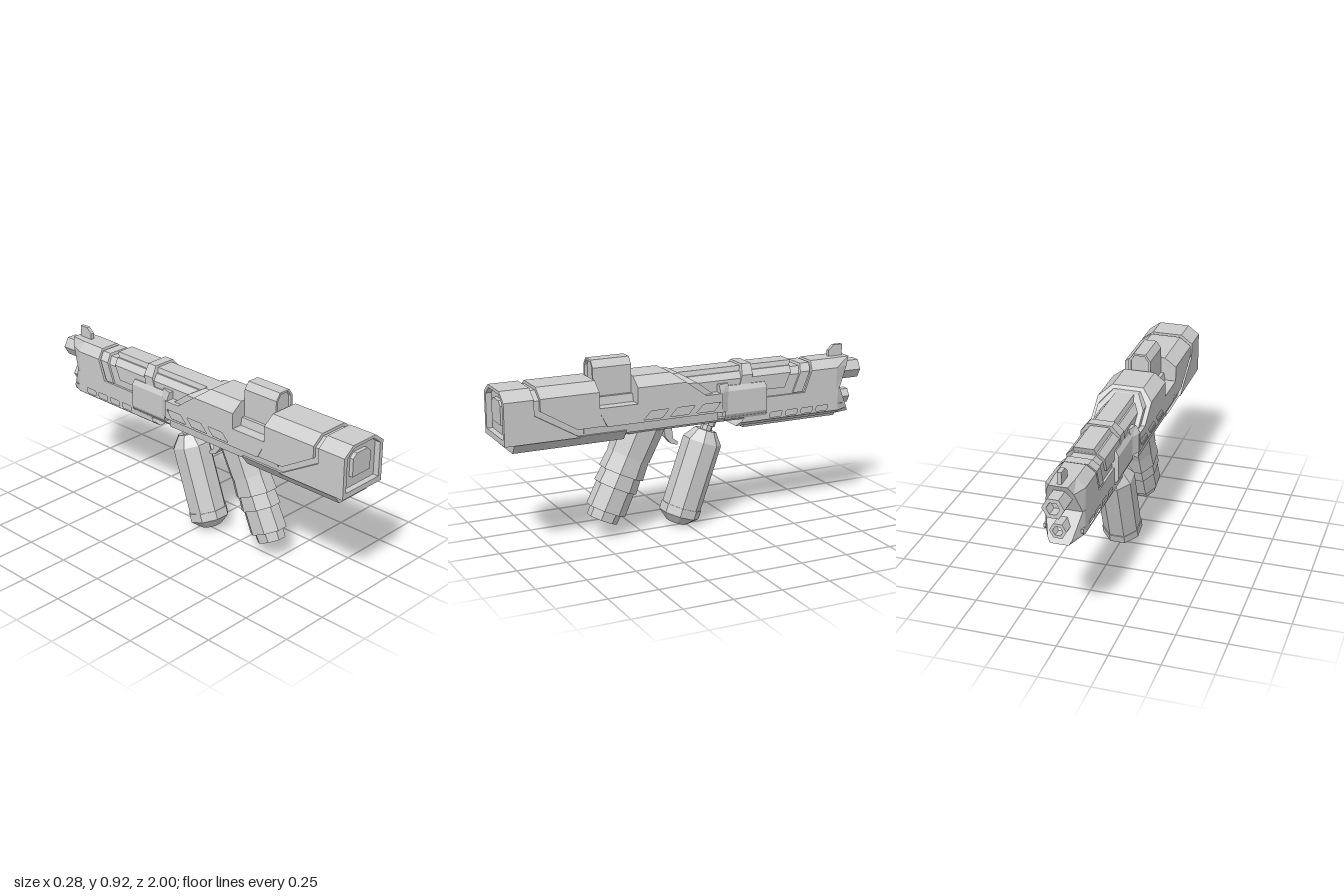
import * as THREE from 'three';

const mat = new THREE.MeshStandardMaterial({ color: 0xcccccc, flatShading: true });

export function createModel() {
  const model = new THREE.Group();
  const add = (name, geo, parent = model) => {
    const mesh = new THREE.Mesh(geo, mat);
    mesh.name = name;
    parent.add(mesh);
    return mesh;
  };

  // Mirrored solid stacked from rows, bottom to top:
  // [y, halfWidth, zFront, zBack, halfWidthAtBack]
  const slab = (name, rows) => {
    const pos = [];
    const quad = (a, b, c, d) => pos.push(...a, ...b, ...c, ...a, ...c, ...d);
    const r = rows.map(([y, w, zf, zb, wb = w]) => ({
      rf: [w, y, zf], lf: [-w, y, zf], rb: [wb, y, zb], lb: [-wb, y, zb],
    }));
    for (let i = 0; i < r.length - 1; i++) {
      const a = r[i], b = r[i + 1];
      quad(a.lf, a.rf, b.rf, b.lf);
      quad(a.rb, a.lb, b.lb, b.rb);
      quad(a.rf, a.rb, b.rb, b.rf);
      quad(a.lb, a.lf, b.lf, b.lb);
    }
    const t = r[r.length - 1], o = r[0];
    quad(t.lf, t.rf, t.rb, t.lb);
    quad(o.lb, o.rb, o.rf, o.lf);
    const geo = new THREE.BufferGeometry();
    geo.setAttribute('position', new THREE.Float32BufferAttribute(pos, 3));
    geo.computeVertexNormals();
    return add(name, geo);
  };

  const shapeOf = (pts, holes = []) => {
    const s = new THREE.Shape(pts.map(p => new THREE.Vector2(...p)));
    holes.forEach(h => s.holes.push(new THREE.Path(h.map(p => new THREE.Vector2(...p)))));
    return s;
  };
  const extrude = (shape, depth) => new THREE.ExtrudeGeometry(shape, { depth, bevelEnabled: false });

  // Outline in (x, y), with optional holes, running from z0 to z1
  const alongZ = (name, pts, holes, z0, z1) =>
    add(name, extrude(shapeOf(pts, holes), z1 - z0).translate(0, 0, z0));

  // Outline in (z, y), spanning x0 to x1
  const alongX = (name, pts, holes, x0, x1) =>
    add(name, extrude(shapeOf(pts, holes), x1 - x0).rotateY(-Math.PI / 2).translate(x1, 0, 0));

  const sidePanels = (name, pts, holes, w, t) => {
    alongX(name + 'Left', pts, holes, w - t, w);
    alongX(name + 'Right', pts, holes, -w, t - w);
  };

  // Arch: box outline with chamfered top corners
  const arch = (w, y0, y1, tw, c) =>
    [[-w, y0], [w, y0], [w, y1 - c], [tw, y1], [-tw, y1], [-w, y1 - c]];

  // Stock: end cap with recessed butt, groove core and middle section
  slab('stockCap', [[0.58, 0.14, 0.97, 0.62], [0.713, 0.14, 0.97, 0.85],
    [0.79, 0.14, 0.97, 0.85], [0.835, 0.08, 0.97, 0.85]]);
  alongZ('buttFrame', arch(0.14, 0.58, 0.835, 0.08, 0.045), [arch(0.118, 0.608, 0.82, 0.07, 0.038)], 0.97, 1);
  alongZ('buttPad', arch(0.063, 0.665, 0.78, 0.038, 0.022), [], 0.96, 0.99);
  slab('stockCore', [[0.585, 0.125, 0.95, 0.5], [0.69, 0.125, 0.95, 0.54],
    [0.78, 0.125, 0.95, 0.54], [0.82, 0.07, 0.95, 0.54]]);
  slab('stockMiddle', [[0.62, 0.14, 0.635, 0.485], [0.69, 0.14, 0.753, 0.52], [0.73, 0.14, 0.82, 0.52],
    [0.79, 0.14, 0.82, 0.52], [0.835, 0.08, 0.82, 0.52]]);
  slab('stockUnderside', [[0.532, 0.1, 0.95, 0.38], [0.585, 0.138, 0.95, 0.38]]);

  // Receiver: lower strip, slotted side panels, raised rear housing
  slab('bottomBelt', [[0.548, 0.08, 0.38, -0.41], [0.575, 0.11, 0.38, -0.41]]);
  slab('lowerStrip', [[0.57, 0.125, 0.6, -0.12], [0.618, 0.13, 0.6, -0.12]]);
  slab('receiverCore', [[0.615, 0.126, 0.49, -0.14], [0.71, 0.126, 0.52, -0.14]]);
  const slits = [0, 1, 2].map(i => {
    const z = 0.29 - i * 0.142;
    return [[z, 0.627], [z - 0.1, 0.627], [z - 0.135, 0.667], [z - 0.04, 0.667]];
  });
  sidePanels('receiverPanel', [[0.48, 0.615], [-0.14, 0.615], [-0.14, 0.71], [0.52, 0.71], [0.52, 0.69]], slits, 0.14, 0.014);
  slab('receiverHousing', [[0.71, 0.14, 0.32, -0.05], [0.79, 0.14, 0.32, 0.06], [0.835, 0.08, 0.32, 0.12]]);
  slab('receiverLip', [[0.7, 0.118, 0.1, -0.11], [0.775, 0.118, 0.1, -0.01], [0.822, 0.07, 0.1, 0.07]]);
  slab('receiverCollar', [[0.61, 0.14, -0.13, -0.19, 0.112], [0.71, 0.14, -0.13, -0.19, 0.112],
    [0.75, 0.118, -0.13, -0.19, 0.1]]);

  // Sight housing in the notch
  slab('sightFoot', [[0.7, 0.085, 0.52, 0.32], [0.75, 0.075, 0.52, 0.32]]);
  alongZ('sightHousing', arch(0.058, 0.72, 0.925, 0.032, 0.035), [arch(0.046, 0.76, 0.915, 0.027, 0.03)], 0.32, 0.52);
  alongZ('sightGlass', arch(0.05, 0.75, 0.918, 0.03, 0.032), [], 0.335, 0.505);

  // Barrel shroud with band and slanted vents
  slab('shroudCore', [[0.56, 0.083, 0, -0.8], [0.75, 0.083, 0, -0.8], [0.785, 0.055, 0, -0.8]]);
  slab('shroud', [[0.69, 0.094, 0, -0.52], [0.765, 0.094, 0.05, -0.553], [0.795, 0.065, 0.08, -0.565]]);
  slab('shroudTop', [[0.785, 0.06, 0.08, -0.56], [0.82, 0.048, 0.1, -0.575]]);
  slab('shroudBand', [[0.7, 0.1, -0.25, -0.31], [0.78, 0.1, -0.27, -0.33], [0.83, 0.06, -0.285, -0.338]]);
  slab('ventRib', [[0.655, 0.093, -0.57, -0.625], [0.76, 0.093, -0.612, -0.667], [0.797, 0.058, -0.627, -0.682]]);

  // Muzzle block and lower shroud, both tapering at the end
  slab('muzzleBlock', [[0.65, 0.095, -0.64, -0.83], [0.76, 0.095, -0.68, -0.83], [0.803, 0.052, -0.695, -0.83]]);
  slab('muzzleTip', [[0.65, 0.095, -0.83, -0.855, 0.088], [0.76, 0.095, -0.83, -0.907, 0.065],
    [0.803, 0.052, -0.83, -0.93, 0.045]]);
  slab('lowerShroud', [[0.51, 0.065, -0.255, -0.84], [0.532, 0.085, -0.27, -0.84],
    [0.58, 0.085, -0.3, -0.84], [0.65, 0.085, -0.41, -0.84]]);
  const ports = [0, 1, 2, 3, 4].map(i => {
    const z = -0.437 - i * 0.091;
    return [[z, 0.541], [z - 0.06, 0.541], [z - 0.068, 0.55], [z - 0.068, 0.568], [z - 0.008, 0.568], [z, 0.56]];
  });
  sidePanels('lowerShroudPanel', [[-0.27, 0.532], [-0.84, 0.532], [-0.84, 0.65], [-0.41, 0.65], [-0.3, 0.58]], ports, 0.095, 0.011);
  slab('lowerTip', [[0.51, 0.065, -0.84, -0.93, 0.045], [0.532, 0.095, -0.84, -0.918, 0.058],
    [0.65, 0.095, -0.84, -0.855, 0.088]]);
  slab('bottomRail', [[0.49, 0.035, -0.31, -0.855], [0.512, 0.045, -0.31, -0.855]]);
  slab('frontSight', [[0.8, 0.01, -0.83, -0.91], [0.835, 0.01, -0.83, -0.91], [0.862, 0.01, -0.86, -0.91]]);

  // Hexagonal barrels with open ends
  const hex = (r, y) => Array.from({ length: 6 }, (_, i) =>
    [r * Math.cos(i * Math.PI / 3), y + r * Math.sin(i * Math.PI / 3)]);
  [['barrel', 0.727, 0.054, -1], ['lowerBarrel', 0.585, 0.041, -0.945]].forEach(([name, y, r, end]) => {
    alongZ(name, hex(r, y), [], end + 0.06, -0.75);
    alongZ(name + 'Mouth', hex(r, y), [hex(r * 0.6, y)], end, end + 0.06);
  });

  // Bracket holding the front grip
  slab('gripBracket', [[0.56, 0.1, -0.17, -0.405], [0.59, 0.115, -0.17, -0.405],
    [0.71, 0.115, -0.17, -0.405], [0.735, 0.1, -0.18, -0.4]]);

  // Trigger
  alongX('trigger', [[0.131, 0.56], [0.12, 0.488], [0.088, 0.45], [0.05, 0.438], [0.05, 0.455],
    [0.076, 0.475], [0.085, 0.56]], [], -0.018, 0.018);

  // Eight-sided segment along a grip axis, from s0 to s1 down the axis
  const segment = (group, name, s0, s1, top, bottom, sx = 1) => {
    const k = 1 / Math.cos(Math.PI / 8);
    const geo = new THREE.CylinderGeometry(top * k, bottom * k, s1 - s0, 8);
    geo.rotateY(Math.PI / 8).scale(sx, 1, 1).translate(0, -(s0 + s1) / 2, 0);
    add(name, geo, group);
  };
  const tilted = (name, y, z, angle) => {
    const g = new THREE.Group();
    g.name = name;
    g.position.set(0, y, z);
    g.rotation.x = -angle;
    model.add(g);
    return g;
  };

  // Rear grip: stepped segments
  const rear = tilted('rearGrip', 0.54, 0.254, 0.44);
  [[-0.06, 0.14, 0.115, 0.108], [0.13, 0.235, 0.104, 0.113], [0.225, 0.31, 0.1, 0.108],
    [0.3, 0.435, 0.097, 0.1], [0.43, 0.485, 0.08, 0.077]].forEach(([a, b, t, w], i) =>
    segment(rear, 'gripSegment' + (i + 1), a, b, t, w, 0.74));

  // Front grip: neck, shoulder, body and tapered foot
  const front = tilted('frontGrip', 0.22, -0.02, 0.34);
  segment(front, 'gripNeck', -0.4, -0.27, 0.028, 0.028);
  segment(front, 'gripNeckRing', -0.34, -0.315, 0.036, 0.036);
  segment(front, 'gripShoulder', -0.29, -0.23, 0.052, 0.094, 0.96);
  segment(front, 'gripBody', -0.23, 0.13, 0.094, 0.094, 0.96);
  segment(front, 'gripRim', 0.12, 0.165, 0.098, 0.098, 0.96);
  segment(front, 'gripFoot', 0.165, 0.208, 0.098, 0.05, 0.96);

  return model;
}
